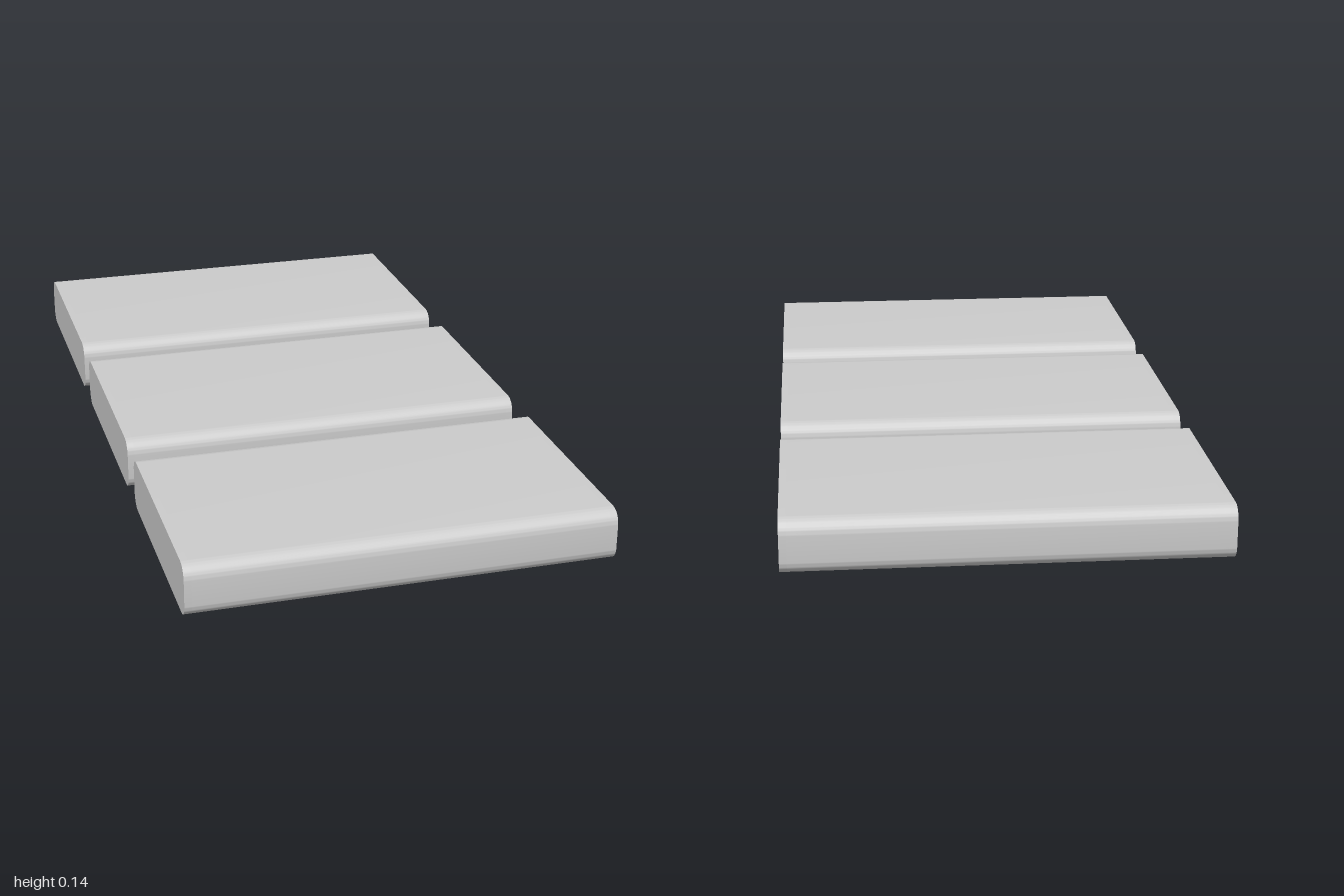
import * as THREE from 'three';
import { toCreasedNormals } from 'three/addons/utils/BufferGeometryUtils.js';

const LENGTH = 1.066, HEIGHT = 0.135, DEPTH = 0.61, RADIUS = 0.036;
const SPACING = 0.695;
const SLOT_WIDTH = 0.05, SLOT_DEPTH = 0.02, END = 0.018;

// Rounded plank cross-section, optionally with a slot in its underside
function profile(slotted) {
  const w = DEPTH / 2, r = RADIUS, s = SLOT_WIDTH / 2;
  const shape = new THREE.Shape();
  shape.moveTo(-w + r, 0);
  if (slotted) {
    shape.lineTo(-s, 0);
    shape.lineTo(-s, SLOT_DEPTH);
    shape.lineTo(s, SLOT_DEPTH);
    shape.lineTo(s, 0);
  }
  shape.lineTo(w - r, 0);
  shape.absarc(w - r, r, r, -Math.PI / 2, 0);
  shape.absarc(w - r, HEIGHT - r, r, 0, Math.PI / 2);
  shape.absarc(-w + r, HEIGHT - r, r, Math.PI / 2, Math.PI);
  shape.absarc(-w + r, r, r, Math.PI, Math.PI * 1.5);
  return shape;
}

// Extrude a cross-section along x, centred on the origin
function extrudeAlongX(shape, length) {
  const geometry = new THREE.ExtrudeGeometry(shape, { depth: length, bevelEnabled: false, curveSegments: 8 });
  geometry.translate(0, 0, -length / 2);
  geometry.rotateY(Math.PI / 2);
  return toCreasedNormals(geometry, 0.6);
}

export function createModel() {
  const model = new THREE.Group();
  model.name = 'plankSet';
  const material = new THREE.MeshStandardMaterial({ color: 0xcccccc });
  const bodyGeometry = extrudeAlongX(profile(true), LENGTH - 2 * END);
  const endGeometry = extrudeAlongX(profile(false), END);

  ['back', 'middle', 'front'].forEach((place, i) => {
    const plank = new THREE.Group();
    plank.name = place + 'Plank';
    plank.position.z = (i - 1) * SPACING;

    // Slotted body
    const body = new THREE.Mesh(bodyGeometry, material);
    body.name = 'slottedBody';
    plank.add(body);

    // Solid ends that close the slot
    for (const side of [-1, 1]) {
      const end = new THREE.Mesh(endGeometry, material);
      end.name = side > 0 ? 'leftEnd' : 'rightEnd';
      end.position.x = side * (LENGTH - END) / 2;
      plank.add(end);
    }
    model.add(plank);
  });
  return model;
}
